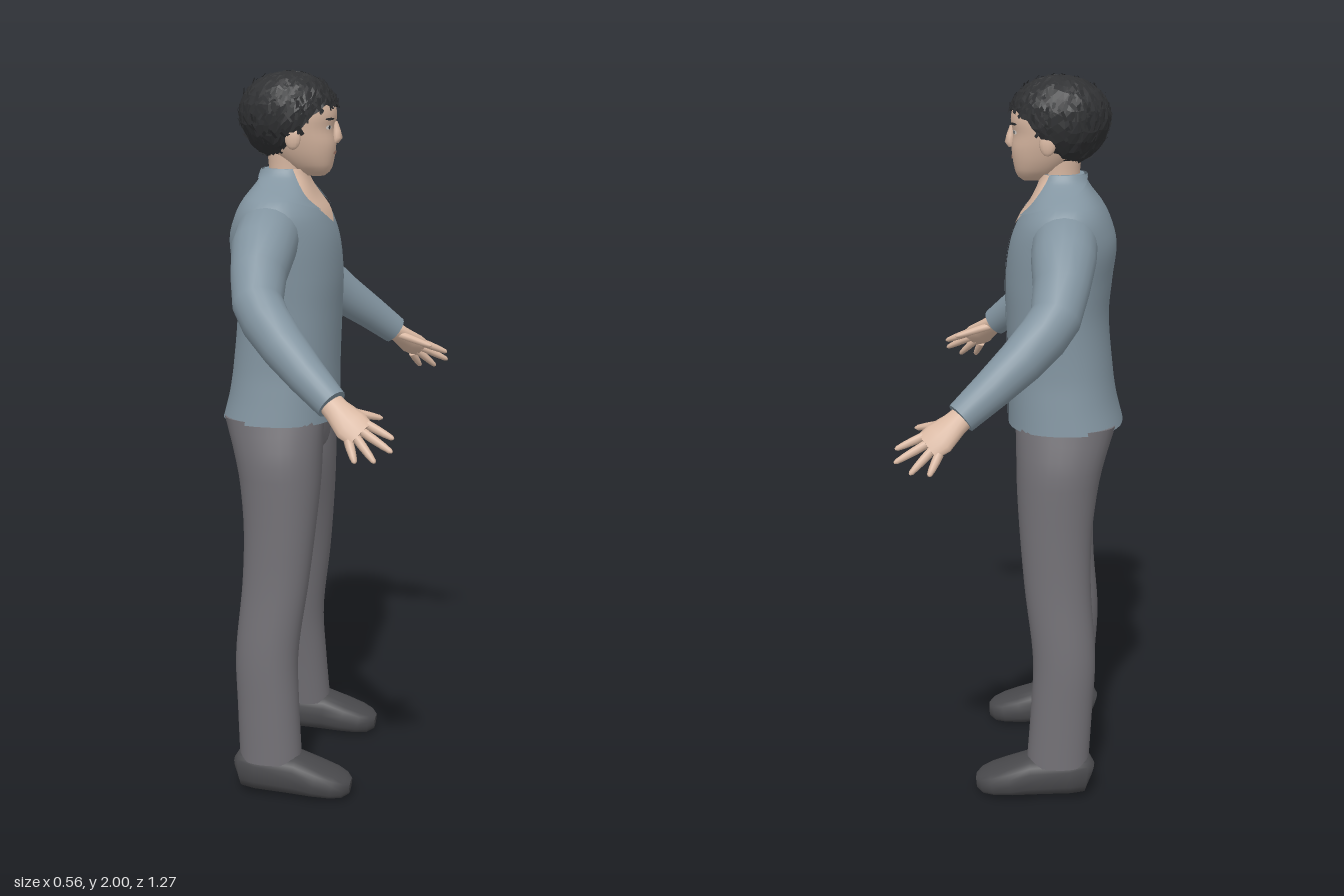
import * as THREE from 'three';
import { mergeGeometries } from 'three/addons/utils/BufferGeometryUtils.js';

const V = (x, y, z) => new THREE.Vector3(x, y, z);
const mat = (name, color, side = THREE.FrontSide) => {
  const m = new THREE.MeshStandardMaterial({ color, side });
  m.name = name;
  return m;
};
let seed = 7;
const rand = () => (seed = (seed * 16807) % 2147483647) / 2147483647;
const pow = (v, p) => Math.sign(v) * Math.abs(v) ** p;

// skin a list of rings; caps get their own vertices so their edges stay sharp
function loft(rings, caps = true, closed = true) {
  const pos = [], idx = [], n = rings[0].length;
  const put = p => pos.push(p.x, p.y, p.z) / 3 - 1;
  rings.forEach(r => r.forEach(put));
  for (let i = 0; i < rings.length - 1; i++)
    for (let j = 0; j < (closed ? n : n - 1); j++) {
      const k = (j + 1) % n, a = i * n + j, b = i * n + k;
      idx.push(a, a + n, b, b, a + n, b + n);
    }
  if (caps) [rings[0], rings.at(-1)].forEach((r, end) => {
    const c = put(r.reduce((s, p) => s.add(p), V(0, 0, 0)).divideScalar(n));
    r.forEach(put);
    for (let j = 0; j < n; j++) {
      const a = c + 1 + j, b = c + 1 + (j + 1) % n;
      idx.push(c, ...(end ? [b, a] : [a, b]));
    }
  });
  const g = new THREE.BufferGeometry();
  g.setAttribute('position', new THREE.Float32BufferAttribute(pos, 3));
  g.setIndex(idx);
  g.computeVertexNormals();
  return g;
}

// smooth surface through rows of [y, back x, front x, centre z, half width]
function surface(rows, p = 1) {
  const slope = (i, c) => {
    const a = rows[Math.max(i - 1, 0)], b = rows[Math.min(i + 1, rows.length - 1)];
    return (b[c] - a[c]) / (b[0] - a[0]);
  };
  return (y, ang, off = 0) => {
    let i = 0;
    while (i < rows.length - 2 && y > rows[i + 1][0]) i++;
    const h = rows[i + 1][0] - rows[i][0], t = (y - rows[i][0]) / h;
    const at = c => {
      const t2 = t * t, t3 = t2 * t;
      return (2 * t3 - 3 * t2 + 1) * rows[i][c] + (t3 - 2 * t2 + t) * h * slope(i, c)
        + (3 * t2 - 2 * t3) * rows[i + 1][c] + (t3 - t2) * h * slope(i + 1, c);
    };
    const b = at(1), f = at(2);
    return V((b + f) / 2 + ((f - b) / 2 + off) * pow(Math.cos(ang), p), y,
      at(3) + (at(4) + off) * pow(Math.sin(ang), p));
  };
}
const body = (s, y0, y1, steps, n = 32) => loft(Array.from({ length: steps + 1 }, (_, i) =>
  Array.from({ length: n }, (_, j) => s(y0 + (y1 - y0) * i / steps, j / n * Math.PI * 2))));

// thin piece lying on a surface; span(t) gives its two angles at height t
const patch = (s, y0, y1, span, off, n = 10) => loft(Array.from({ length: n + 1 }, (_, i) => {
  const [a, b] = span(i / n);
  return Array.from({ length: n + 1 }, (_, j) => s(y0 + (y1 - y0) * i / n, a + (b - a) * j / n, off));
}), false, false);
const oval = (s, ang, w, y, h, off) => patch(s, y - h, y + h, t => {
  const k = w * Math.sqrt(Math.max(0, 1 - (2 * t - 1) ** 2));
  return [ang - k, ang + k];
}, off);

// tube along rows of [x, y, z, side radius, hint radius]
function limb(rows, hint = V(0, 1, 0), n = 16, p = 1) {
  const c = rows.map(r => V(r[0], r[1], r[2]));
  return loft(rows.map((r, i) => {
    const d = c[Math.min(i + 1, c.length - 1)].clone().sub(c[Math.max(i - 1, 0)]).normalize();
    const v = hint.clone().addScaledVector(d, -hint.dot(d)).normalize();
    const u = d.clone().cross(v);
    return Array.from({ length: n }, (_, j) => {
      const a = j / n * Math.PI * 2;
      return c[i].clone().addScaledVector(u, r[3] * pow(Math.cos(a), p)).addScaledVector(v, r[4] * pow(Math.sin(a), p));
    });
  }));
}

function mirrored(geo) {
  const g = geo.clone().scale(1, 1, -1), ix = g.index.array;
  for (let i = 0; i < ix.length; i += 3) [ix[i], ix[i + 1]] = [ix[i + 1], ix[i]];
  g.computeVertexNormals();
  return g;
}

export function createModel() {
  const root = new THREE.Group();
  root.name = 'standingMan';
  const shirt = mat('shirtBlueGrey', 0x8395a1, THREE.DoubleSide), trousers = mat('trouserGrey', 0x706e73);
  const skin = mat('skin', 0xd9b8a2, THREE.DoubleSide), hair = mat('hairBlack', 0x303133, THREE.DoubleSide);
  const shoe = mat('shoeCharcoal', 0x48484b), white = mat('eyeWhite', 0xe4ded8, THREE.DoubleSide);
  const lip = mat('lip', 0xb58877, THREE.DoubleSide);
  const add = (name, geo, m) => {
    const mesh = new THREE.Mesh(geo, m);
    mesh.name = name;
    root.add(mesh);
  };
  // the figure faces +x, so its two halves mirror across z
  const pair = (name, geo, m) => {
    add(name + 'A', geo, m);
    add(name + 'B', mirrored(geo), m);
  };

  // shirt
  const torso = surface([
    [1.05, -.28, .04, 0, .2], [1.12, -.262, .04, 0, .193], [1.2, -.25, .04, 0, .187],
    [1.35, -.237, .045, 0, .19], [1.45, -.245, .047, 0, .2], [1.55, -.255, .035, 0, .212],
    [1.62, -.235, .008, 0, .212], [1.66, -.213, -.02, 0, .18], [1.69, -.19, -.036, 0, .12],
    [1.715, -.174, -.046, 0, .08], [1.735, -.165, -.05, 0, .066]], .85);
  add('shirtBody', body(torso, 1.05, 1.735, 36, 40), shirt);
  const vee = y => 1.1 * (y - 1.59) / .145;
  add('openNeck', patch(torso, 1.59, 1.735, t => [-vee(1.59 + .145 * t), vee(1.59 + .145 * t)], .003, 14), skin);
  add('placket', patch(torso, 1.06, 1.59, () => [-.02, .02], .003, 16), shirt);
  pair('collar', patch(torso, 1.63, 1.735, t => [.3 + .8 * t, .3 + 2.85 * t], .008, 14), shirt);
  pair('sleeve', limb([
    [-.12, 1.59, .1, .07, .06], [-.12, 1.565, .18, .086, .084], [-.12, 1.535, .235, .085, .085],
    [-.117, 1.48, .305, .074, .075], [-.105, 1.415, .37, .066, .069], [-.075, 1.375, .41, .063, .066],
    [-.02, 1.32, .455, .058, .06], [.05, 1.26, .51, .05, .051], [.12, 1.2, .55, .04, .043]], V(0, 1, 0), 20), shirt);

  // trousers
  const leg = surface([
    [.1, -.2, -.025, .223, .068], [.25, -.208, -.035, .21, .07], [.4, -.215, -.04, .195, .074],
    [.6, -.2, -.015, .17, .076], [.75, -.2, 0, .145, .09], [.88, -.215, .01, .119, .109],
    [.95, -.23, .012, .108, .115], [1.06, -.262, .015, .095, .1]], .9);
  pair('trouserLeg', body(leg, .1, 1.06, 24), trousers);
  add('trouserSeat', body(surface([
    [.93, -.19, -.03, 0, .12], [.97, -.232, .005, 0, .19], [1.07, -.262, .015, 0, .192]], .85), .93, 1.07, 8), trousers);

  // shoes, from heel to toe
  pair('shoe', limb([
    [-.206, .062, .225, .03, .032], [-.195, .066, .225, .052, .053], [-.15, .068, .226, .062, .06],
    [-.04, .062, .228, .068, .058], [.02, .049, .229, .071, .047], [.07, .039, .229, .066, .038],
    [.1, .033, .229, .05, .031], [.117, .031, .229, .025, .02]], V(0, 1, 0), 20, .8), shoe);

  // hands
  const across = V(-.045, -.045, .035).normalize();
  pair('palm', limb([
    [.1, 1.216, .54, .026, .03], [.135, 1.186, .558, .021, .034], [.172, 1.155, .576, .019, .045],
    [.2, 1.136, .588, .012, .04]], across, 14), skin);
  const fingers = [
    ['indexFinger', [.205, 1.16, .567], [.28, 1.128, .588]], ['middleFinger', [.2, 1.143, .582], [.28, 1.1, .612]],
    ['ringFinger', [.187, 1.13, .592], [.24, 1.076, .628]], ['littleFinger', [.17, 1.12, .598], [.192, 1.074, .633]],
    ['thumb', [.14, 1.186, .545], [.24, 1.16, .505]]];
  for (const [name, a, b] of fingers)
    pair(name, limb([[0, .012], [.35, .0115], [.7, .0095], [.93, .007], [1, .003]].map(([t, r]) =>
      [...a.map((v, i) => v + (b[i] - v) * t), r, r]), across, 8), skin);

  // neck and head
  add('neck', body(surface([[1.66, -.165, -.05, 0, .06], [1.72, -.153, -.048, 0, .055],
    [1.8, -.16, -.045, 0, .06]]), 1.66, 1.8, 6, 24), skin);
  const head = surface([
    [1.715, -.05, .0, 0, .018], [1.728, -.085, .016, 0, .042], [1.76, -.13, .026, 0, .064],
    [1.8, -.17, .031, 0, .08], [1.84, -.19, .027, 0, .09], [1.88, -.2, .033, 0, .094],
    [1.92, -.2, .02, 0, .09], [1.96, -.17, -.03, 0, .06], [1.98, -.13, -.07, 0, .03]], .9);
  add('head', body(head, 1.715, 1.98, 26), skin);
  add('nose', limb([[.03, 1.86, 0, .007, .006], [.034, 1.835, 0, .011, .011],
    [.036, 1.818, 0, .016, .014], [.031, 1.805, 0, .012, .008]], V(1, 0, 0), 10), skin);
  pair('ear', new THREE.SphereGeometry(1, 12, 8).scale(.022, .032, .01).translate(-.07, 1.82, .089), skin);
  pair('eyeWhite', oval(head, .43, .13, 1.846, .006, .002), white);
  pair('pupil', oval(head, .42, .045, 1.846, .0055, .003), hair);
  pair('eyebrow', oval(head, .43, .2, 1.868, .0035, .002), hair);
  add('mouth', oval(head, 0, .25, 1.777, .005, .002), lip);

  // hair: a rough cap with a hairline that drops towards the nape
  const crown = (a, lat, k = 1) => V(-.098 + .136 * k * Math.cos(lat) * Math.cos(a),
    1.885 + (lat > 0 ? .107 : .13) * k * Math.sin(lat), .109 * k * Math.cos(lat) * Math.sin(a));
  const hairline = a => {
    const y = 1.905 - .14 * THREE.MathUtils.smoothstep(Math.abs(a), .5, 1.9);
    return Math.asin((y - 1.885) / (y > 1.885 ? .107 : .13));
  };
  const N = 48, az = j => j / N * Math.PI * 2 - (j > N / 2 ? Math.PI * 2 : 0);
  const fringe = Array.from({ length: N }, (_, j) => hairline(az(j)) + (rand() - .5) * .12);
  add('hairCap', loft(Array.from({ length: 14 }, (_, i) => Array.from({ length: N }, (_, j) => {
    const t = Math.max(0, i - 1) / 12;
    return crown(az(j), fringe[j] + (Math.PI / 2 - fringe[j]) * t, i === 0 ? .85 : t === 1 ? 1 : .985 + rand() * .04);
  })), false).toNonIndexed(), hair);
  root.children.at(-1).geometry.computeVertexNormals();

  // short loose locks laid over the cap
  const locks = Array.from({ length: 420 }, () => {
    const a = (rand() * 2 - 1) * Math.PI, low = hairline(a);
    const lat = Math.asin(Math.sin(low) + (1 - Math.sin(low)) * rand());
    const out = crown(a, lat).sub(V(-.098, 1.885, 0)).normalize();
    const o = new THREE.Object3D();
    o.position.copy(crown(a, lat, 1.012));
    o.lookAt(o.position.clone().add(out));
    o.rotateZ((rand() - .5) * 1.8);
    o.rotateX((rand() - .5) * .5);
    o.updateMatrix();
    return new THREE.PlaneGeometry(.006 + rand() * .006, .02 + rand() * .016).applyMatrix4(o.matrix);
  });
  add('hairLocks', mergeGeometries(locks), hair);
  return root;
}
